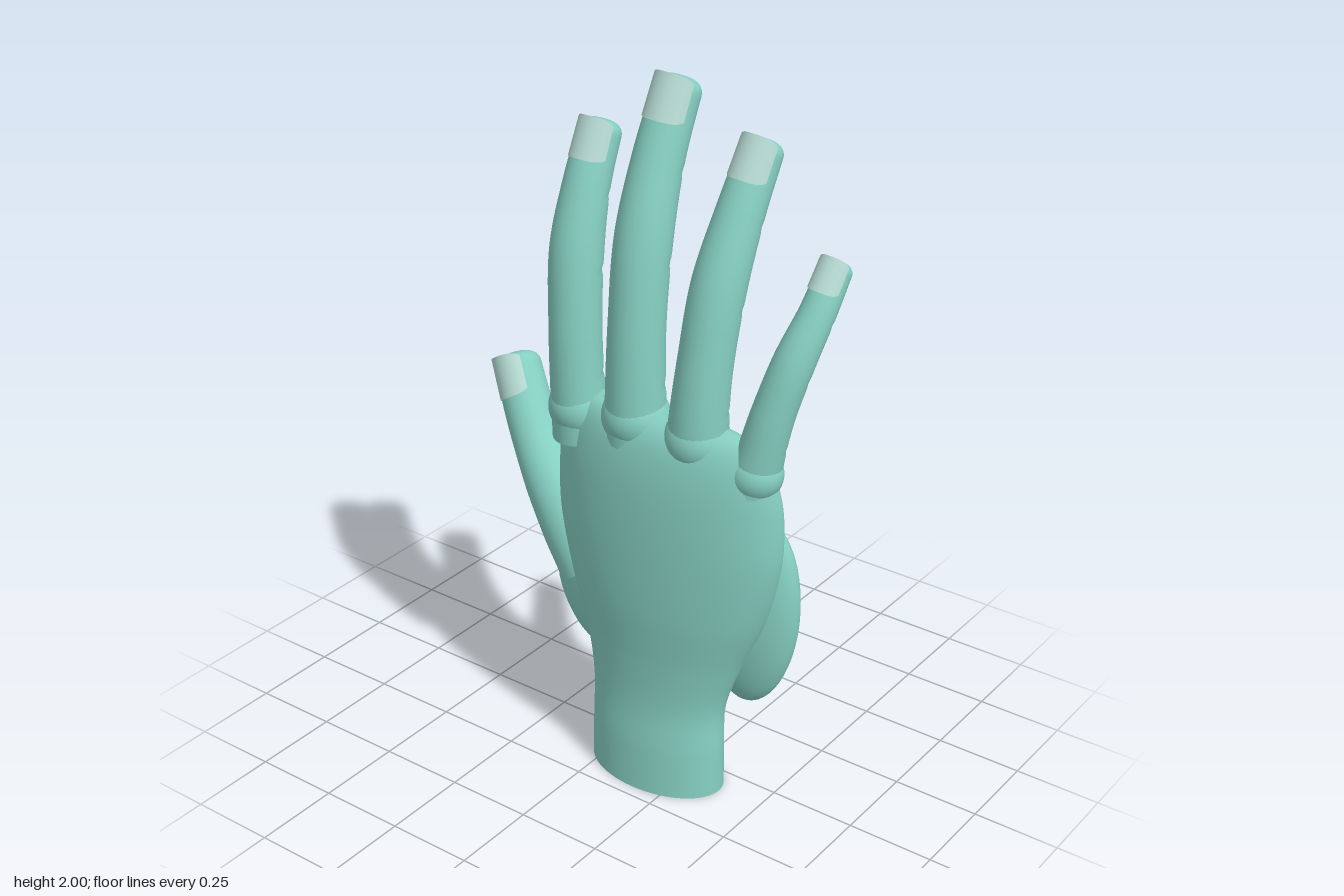
import * as THREE from 'three';

const skin = new THREE.MeshStandardMaterial({ color: 0x86cfc2 });
skin.name = 'teal skin';
const nailMat = new THREE.MeshStandardMaterial({ color: 0xb8ddd5, side: THREE.DoubleSide });
nailMat.name = 'pale nail';

// Smooth blend through rows of numbers, t from 0 to 1
function rowSampler(rows) {
  const curves = rows[0].map((_, c) =>
    new THREE.SplineCurve(rows.map((r, i) => new THREE.Vector2(i, r[c]))));
  return (t) => curves.map((c) => c.getPoint(t).y);
}

// Skin over equal rings of points, closed by flat ends
function loft(rings) {
  const n = rings[0].length, pos = [], idx = [];
  const add = (p) => pos.push(p.x, p.y, p.z) / 3 - 1;
  rings.forEach((ring) => ring.forEach(add));
  for (let i = 0; i < rings.length - 1; i++) {
    for (let j = 0; j < n; j++) {
      const k = (j + 1) % n, a = i * n, b = a + n;
      idx.push(a + j, a + k, b + k, a + j, b + k, b + j);
    }
  }
  [rings[0], rings[rings.length - 1]].forEach((ring, end) => {
    const mid = new THREE.Vector3();
    ring.forEach((p) => mid.addScaledVector(p, 1 / n));
    const c = add(mid), s = c + 1;
    ring.forEach(add);
    for (let j = 0; j < n; j++) {
      const k = (j + 1) % n;
      if (end) idx.push(c, s + j, s + k);
      else idx.push(c, s + k, s + j);
    }
  });
  const g = new THREE.BufferGeometry();
  g.setAttribute('position', new THREE.Float32BufferAttribute(pos, 3));
  g.setIndex(idx);
  g.computeVertexNormals();
  return g;
}

function mesh(name, geometry, material = skin) {
  const m = new THREE.Mesh(geometry, material);
  m.name = name;
  return m;
}

function pad(name, centre, radii, rotation = [0, 0, 0]) {
  const m = mesh(name, new THREE.SphereGeometry(1, 40, 28));
  m.position.set(...centre);
  m.scale.set(...radii);
  m.rotation.set(...rotation);
  return m;
}

// Wrist and palm: rows of y, centre x, half width, centre z, back depth, palm depth
function palm() {
  const sample = rowSampler([
    [0, 0.16, 0.21, 0.085, 0.13, 0.125],
    [0.13, 0.158, 0.21, 0.083, 0.122, 0.122],
    [0.26, 0.155, 0.213, 0.075, 0.115, 0.115],
    [0.4, 0.16, 0.25, 0.06, 0.13, 0.1],
    [0.57, 0.163, 0.315, 0.045, 0.155, 0.085],
    [0.75, 0.163, 0.357, 0.04, 0.16, 0.075],
    [0.9, 0.163, 0.36, 0.04, 0.153, 0.07],
    [1.0, 0.163, 0.343, 0.05, 0.13, 0.075],
    [1.07, 0.16, 0.315, 0.06, 0.1, 0.075],
    [1.11, 0.155, 0.27, 0.07, 0.06, 0.055],
    [1.125, 0.15, 0.2, 0.07, 0.02, 0.02],
  ]);
  const rings = [];
  for (let i = 0; i <= 80; i++) {
    const [y, cx, rx, cz, back, front] = sample(i / 80);
    rings.push(Array.from({ length: 64 }, (_, j) => {
      const a = (j / 64) * Math.PI * 2, c = Math.cos(a);
      return new THREE.Vector3(cx + rx * Math.sin(a), y, cz + c * (c > 0 ? back : front));
    }));
  }
  return mesh('palm', loft(rings));
}

// Finger with blunt tip, creases on the palm side and a curved nail
function finger(name, rows, creases, facing, nailLength) {
  const group = new THREE.Group();
  group.name = name;
  const sample = rowSampler(rows), rings = [], steps = 90;
  const at = (t) => new THREE.Vector3(...sample(t).slice(0, 3));
  let dir, side, up;
  const ring = (centre, r, dent) => rings.push(Array.from({ length: 28 }, (_, j) => {
    const a = (j / 28) * Math.PI * 2, c = Math.cos(a);
    const q = r * (1 - dent * Math.max(0, -c));
    return centre.clone().addScaledVector(side, q * Math.sin(a)).addScaledVector(up, q * c);
  }));
  for (let i = 0; i <= steps; i++) {
    const t = i / steps;
    dir = at(Math.min(1, t + 0.01)).sub(at(Math.max(0, t - 0.01))).normalize();
    up = new THREE.Vector3(...facing);
    up.addScaledVector(dir, -up.dot(dir)).normalize();
    side = dir.clone().cross(up);
    let dent = 0;
    creases.forEach((c) => { dent += 0.09 * Math.exp(-(((t - c) / 0.012) ** 2)); });
    ring(at(t), sample(t)[3], dent);
  }
  const tip = at(1), r = sample(1)[3];
  for (let k = 1; k <= 8; k++) {
    const a = (k / 8) * 1.5;
    ring(tip.clone().addScaledVector(dir, r * 0.6 * Math.sin(a)), r * Math.cos(a) ** 0.7, 0);
  }
  group.add(mesh(name + 'Flesh', loft(rings)));

  // Nail: strip of a cylinder with rounded corners
  const arc = 1.15;
  const g = new THREE.CylinderGeometry(r * 1.07, r * 1.1, nailLength, 20, 8, true, -arc, arc * 2);
  const p = g.attributes.position;
  for (let i = 0; i < p.count; i++) {
    const u = Math.atan2(p.getX(i), p.getZ(i)) / arc;
    p.setY(i, p.getY(i) * (1 - 0.22 * u ** 4));
  }
  g.computeVertexNormals();
  const nail = mesh(name + 'Nail', g, nailMat);
  nail.quaternion.setFromRotationMatrix(new THREE.Matrix4().makeBasis(side, dir, up));
  nail.position.copy(tip).addScaledVector(dir, -nailLength * 0.22);
  group.add(nail);
  return group;
}

export function createModel() {
  const hand = new THREE.Group();
  hand.name = 'hand';
  hand.add(palm());

  // Fleshy pads
  hand.add(pad('thumbPad', [-0.075, 0.5, -0.03], [0.2, 0.265, 0.1], [0, 0, 0.12]));
  hand.add(pad('outerPad', [0.4, 0.555, -0.02], [0.135, 0.295, 0.07], [0, 0.15, -0.06]));
  hand.add(pad('upperPad', [0.16, 1.0, 0.03], [0.31, 0.1, 0.065]));

  // Finger rows: x, y, z, radius
  const straight = [0, 0, 1];
  hand.add(finger('indexFinger', [
    [-0.11, 0.98, 0.07, 0.085], [-0.12, 1.12, 0.08, 0.075], [-0.13, 1.3, 0.075, 0.072],
    [-0.142, 1.5, 0.05, 0.073], [-0.142, 1.67, 0.005, 0.064], [-0.14, 1.8, -0.05, 0.059],
  ], [0.25, 0.55, 0.78], straight, 0.115));
  hand.add(finger('middleFinger', [
    [0.08, 0.98, 0.08, 0.09], [0.08, 1.14, 0.088, 0.082], [0.078, 1.35, 0.08, 0.077],
    [0.073, 1.58, 0.045, 0.077], [0.073, 1.78, -0.018, 0.069], [0.08, 1.945, -0.088, 0.064],
  ], [0.25, 0.55, 0.78], straight, 0.125));
  hand.add(finger('ringFinger', [
    [0.27, 0.98, 0.07, 0.088], [0.278, 1.13, 0.08, 0.08], [0.288, 1.3, 0.068, 0.074],
    [0.298, 1.5, 0.028, 0.073], [0.312, 1.68, -0.04, 0.064], [0.323, 1.825, -0.112, 0.058],
  ], [0.25, 0.55, 0.78], straight, 0.12));
  hand.add(finger('littleFinger', [
    [0.42, 0.95, 0.05, 0.08], [0.455, 1.08, 0.052, 0.064], [0.482, 1.2, 0.04, 0.058],
    [0.516, 1.34, 0.005, 0.055], [0.543, 1.46, -0.052, 0.048], [0.553, 1.56, -0.112, 0.045],
  ], [0.25, 0.55, 0.78], straight, 0.095));
  hand.add(finger('thumb', [
    [-0.14, 0.5, -0.03, 0.11], [-0.23, 0.61, -0.045, 0.105], [-0.315, 0.7, -0.06, 0.088],
    [-0.4, 0.795, -0.09, 0.075], [-0.465, 0.885, -0.122, 0.072], [-0.522, 0.98, -0.152, 0.068],
  ], [0.4, 0.72], [-0.25, 0, 1], 0.125));

  // Knuckle swellings at the finger roots
  [[-0.115, 1.06, 0.075, 0.09], [0.08, 1.09, 0.085, 0.096],
    [0.275, 1.08, 0.08, 0.092], [0.44, 1.02, 0.055, 0.078]].forEach(([x, y, z, r]) =>
    hand.add(pad('knuckle', [x, y, z], [r, r * 0.95, r * 0.95])));

  return hand;
}
